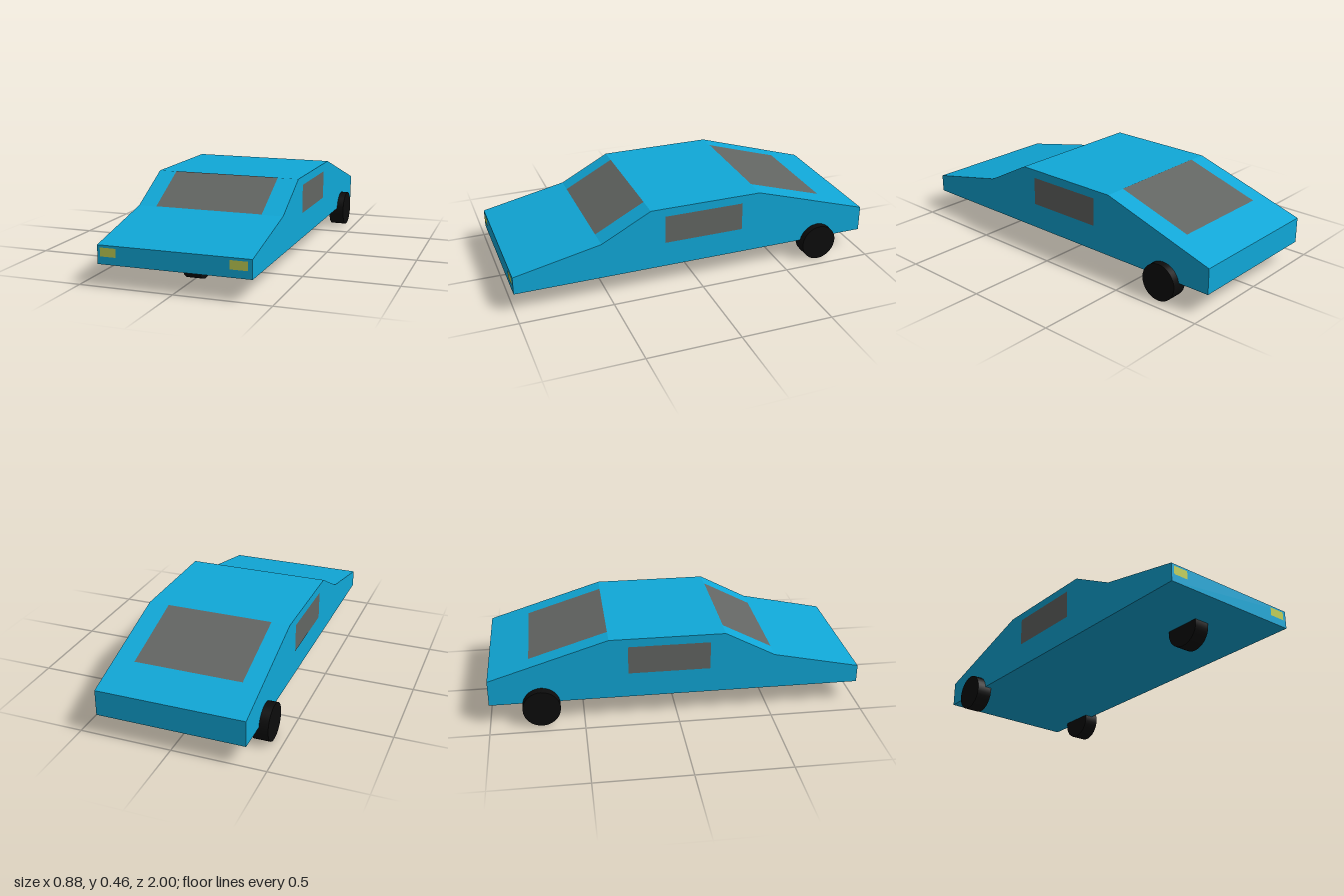
import * as THREE from 'three';

export function createModel() {
  const car = new THREE.Group();
  car.name = 'threeWheeledCar';

  const paint = new THREE.MeshStandardMaterial({ color: 0x10a8d8 });
  const glass = new THREE.MeshStandardMaterial({ color: 0x636663 });
  const lamp = new THREE.MeshStandardMaterial({ color: 0xc2d054 });
  const rubber = new THREE.MeshStandardMaterial({ color: 0x0c0c0c });
  const midX = 0.004, width = 0.798, lift = 0.002;

  function add(name, geometry, material) {
    const mesh = new THREE.Mesh(geometry, material);
    mesh.name = name;
    car.add(mesh);
    return mesh;
  }

  // Wedge body: side profile in (z, y), extruded across the width
  const profile = [[1, 0.115], [1, 0.212], [0.53, 0.312], [0.26, 0.455],
    [-0.36, 0.455], [-1, 0.255], [-1, 0.115]];
  const shape = new THREE.Shape(profile.map(([z, y]) => new THREE.Vector2(z, y)));
  const body = new THREE.ExtrudeGeometry(shape, { depth: width, bevelEnabled: false });
  body.translate(0, 0, -width / 2).rotateY(-Math.PI / 2).translate(midX, 0, 0);
  add('body', body, paint);

  // Flat panel spanning x0..x1 and running from (z0, y0) to (z1, y1), just proud of the body
  function panel(name, material, x0, x1, [z0, y0], [z1, y1]) {
    const geometry = new THREE.PlaneGeometry(x1 - x0, Math.hypot(z1 - z0, y1 - y0));
    geometry.translate(0, 0, lift).rotateX(Math.atan2(z1 - z0, y1 - y0));
    geometry.translate((x0 + x1) / 2, (y0 + y1) / 2, (z0 + z1) / 2);
    add(name, geometry, material);
  }
  panel('windshield', glass, -0.295, 0.29, [0.53, 0.312], [0.26, 0.455]);
  panel('rearWindow', glass, -0.295, 0.29, [-0.36, 0.455], [-0.78, 0.324]);
  panel('rightHeadlight', lamp, -0.38, -0.295, [1, 0.155], [1, 0.2]);
  panel('leftHeadlight', lamp, 0.29, 0.382, [1, 0.155], [1, 0.2]);

  // Side windows
  for (const [name, side] of [['leftWindow', 1], ['rightWindow', -1]]) {
    const geometry = new THREE.PlaneGeometry(0.44, 0.155);
    geometry.rotateY(side * Math.PI / 2);
    add(name, geometry, glass).position.set(midX + side * (width / 2 + lift), 0.3325, -0.04);
  }

  // One wheel in front, two at the back
  const wheel = new THREE.CylinderGeometry(0.1, 0.1, 0.087, 32).rotateZ(Math.PI / 2);
  for (const [name, x, z] of [['frontWheel', 0.003, 0.69],
    ['rearLeftWheel', 0.398, -0.725], ['rearRightWheel', -0.4, -0.725]]) {
    add(name, wheel, rubber).position.set(x, 0.1, z);
  }

  return car;
}
